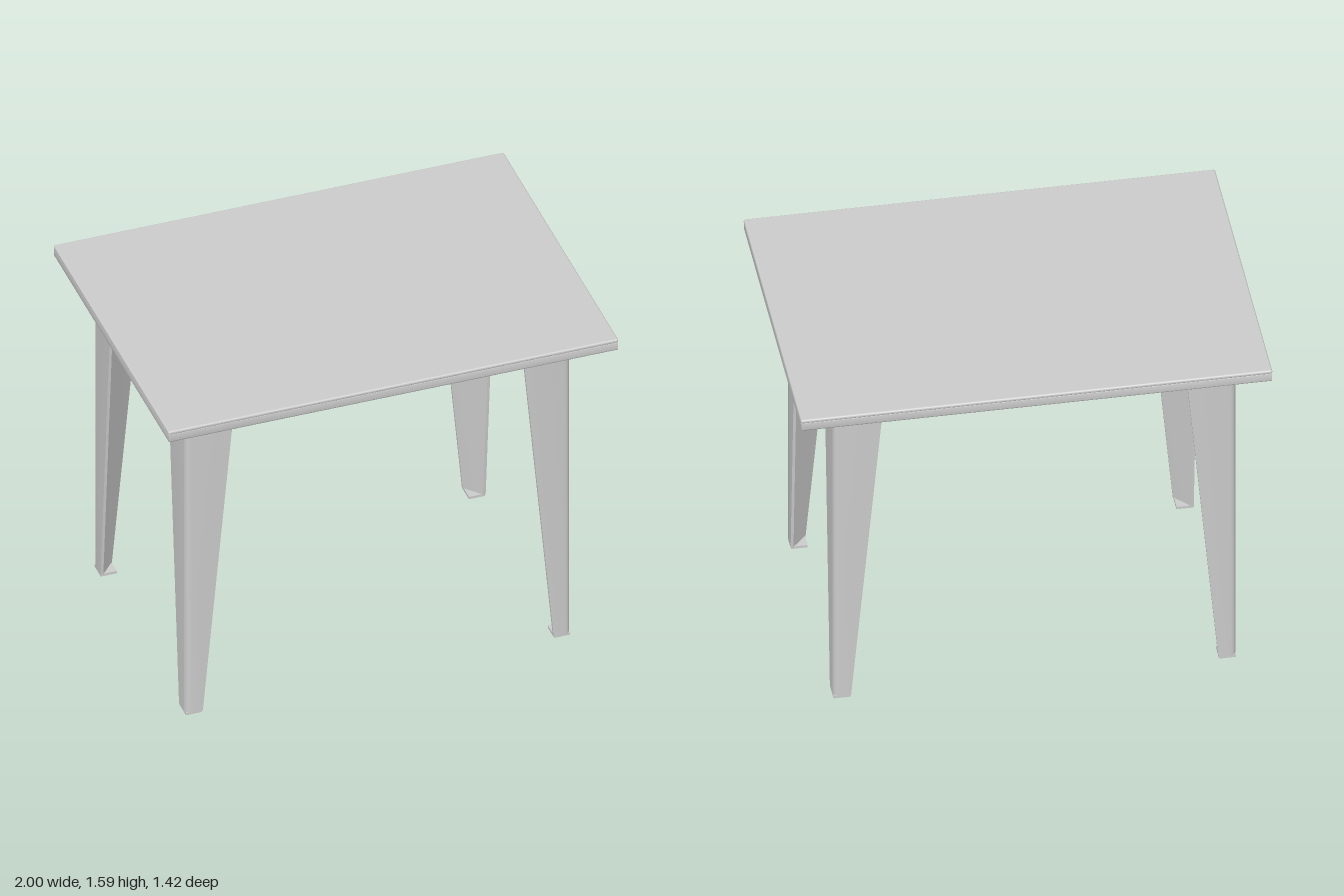
import * as THREE from 'three';
import { RoundedBoxGeometry } from 'three/addons/geometries/RoundedBoxGeometry.js';
import { toCreasedNormals } from 'three/addons/utils/BufferGeometryUtils.js';

const material = new THREE.MeshStandardMaterial({ color: 0xcccccc });
const X = 0.855, Z = 0.568;           // outer faces of the frame
const FOOT_X = 0.075, FOOT_Z = 0.083; // leg widths at the floor
const HEAD_X = 0.215, HEAD_Z = 0.215; // leg widths at the rails
const RAIL_TOP = 1.53;
const UNDERSIDE = 1.57;               // hollow underside of the top
const SHEET = 0.012;

function add(parent, name, geometry, x = 0, y = 0, z = 0) {
  const mesh = new THREE.Mesh(geometry, material);
  mesh.name = name;
  mesh.position.set(x, y, z);
  parent.add(mesh);
  return mesh;
}

// box given by its limits on each axis
function block(parent, name, [x0, x1], [y0, y1], [z0, z1]) {
  return add(parent, name, new THREE.BoxGeometry(x1 - x0, y1 - y0, z1 - z0),
    (x0 + x1) / 2, (y0 + y1) / 2, (z0 + z1) / 2);
}

function rectangle(path, w, d) {
  return path.moveTo(-w, -d).lineTo(w, -d).lineTo(w, d).lineTo(-w, d).closePath();
}

// downturned rim around the edge of the top
function rimGeometry() {
  const shape = rectangle(new THREE.Shape(), 0.99, 0.703);
  shape.holes.push(rectangle(new THREE.Path(), 0.98, 0.693));
  const geometry = new THREE.ExtrudeGeometry(shape,
    { depth: 0.03, bevelSize: 0.008, bevelThickness: 0.008, bevelSegments: 3 });
  geometry.rotateX(-Math.PI / 2);
  return toCreasedNormals(geometry, 0.7);
}

// three-sided leg: rounded outer corner, diagonal inner face, widening upwards
function legGeometry(sx, sz) {
  const outline = [[FOOT_X, SHEET], [FOOT_X, 0]];
  const r = 0.025;
  for (let i = 0; i <= 5; i++) {
    const a = (i / 5) * Math.PI / 2;
    outline.push([r - r * Math.sin(a), r - r * Math.cos(a)]);
  }
  outline.push([0, FOOT_Z], [SHEET, FOOT_Z]);
  const shape = new THREE.Shape(outline.map(([dx, dz]) =>
    new THREE.Vector2(sx * (X - dx), -sz * (Z - dz))));
  const geometry = new THREE.ExtrudeGeometry(shape,
    { depth: UNDERSIDE - 0.006, steps: 1, bevelEnabled: false });
  geometry.rotateX(-Math.PI / 2);
  geometry.translate(0, 0.008, 0);
  const p = geometry.attributes.position;
  for (let i = 0; i < p.count; i++) {
    const t = p.getY(i) / RAIL_TOP;
    if (X - Math.abs(p.getX(i)) > 0.05)
      p.setX(i, sx * (X - THREE.MathUtils.lerp(FOOT_X, HEAD_X, t)));
    if (Z - Math.abs(p.getZ(i)) > 0.05)
      p.setZ(i, sz * (Z - THREE.MathUtils.lerp(FOOT_Z, HEAD_Z, t)));
  }
  return toCreasedNormals(geometry, 0.6);
}

export function createModel() {
  const table = new THREE.Group();
  table.name = 'table';

  // hollow table top: thin sheet with a downturned rim, very slightly out of level
  const top = new THREE.Group();
  top.name = 'tableTop';
  top.rotation.z = -0.004;
  add(top, 'topSheet', new RoundedBoxGeometry(2, 0.018, 1.425, 3, 0.008), 0, 1.576, 0);
  add(top, 'topRim', rimGeometry(), 0, 1.536, 0);
  table.add(top);

  const frame = new THREE.Group();
  frame.name = 'frame';
  frame.position.x = -0.01;
  table.add(frame);

  // four legs, each with a small square foot plate
  for (const sx of [-1, 1]) for (const sz of [-1, 1]) {
    const leg = new THREE.Group();
    leg.name = (sz > 0 ? 'front' : 'back') + (sx > 0 ? 'Left' : 'Right') + 'Leg';
    add(leg, 'legSheet', legGeometry(sx, sz));
    add(leg, 'footPlate', new THREE.BoxGeometry(FOOT_X - 0.004, 0.012, FOOT_Z - 0.004),
      sx * (X - FOOT_X / 2), 0.006, sz * (Z - FOOT_Z / 2));
    frame.add(leg);
  }

  // shallow rails along the front, back and left side
  const railY = [1.485, UNDERSIDE];
  block(frame, 'frontRail', [-0.68, 0.68], railY, [Z - 0.03, Z - 0.002]);
  block(frame, 'backRail', [-0.68, 0.68], railY, [0.002 - Z, 0.03 - Z]);
  block(frame, 'leftRail', [X - 0.03, X - 0.002], railY, [-0.4, 0.4]);

  // deep panel on the right side, folded inwards into a tray
  const panel = new THREE.Group();
  panel.name = 'rightPanel';
  const inner = -X + 0.06;
  block(panel, 'panelFace', [-X, -X + SHEET], [1.32, UNDERSIDE], [-0.37, 0.37]);
  block(panel, 'panelBottomLip', [-X, inner], [1.32, 1.335], [-0.36, 0.37]);
  block(panel, 'panelTopLip', [-X, inner], [1.48, UNDERSIDE], [-0.36, 0.37]);
  for (const s of [-1, 1]) {
    const lip = add(panel, 'panelEndLip', new THREE.BoxGeometry(0.07, 0.2, SHEET),
      -X + 0.035, 1.425, s * 0.345);
    lip.rotation.y = -s * 0.6;
  }
  const knob = add(panel, 'panelKnob', new THREE.ConeGeometry(0.055, 0.025, 12), -X - 0.012, 1.42, -0.04);
  knob.rotation.z = Math.PI / 2;
  frame.add(panel);

  // shallow stiffener under the top
  block(frame, 'underTopBeam', [-0.78, 0.78], [1.54, UNDERSIDE], [-0.28, 0.02]);

  return table;
}
